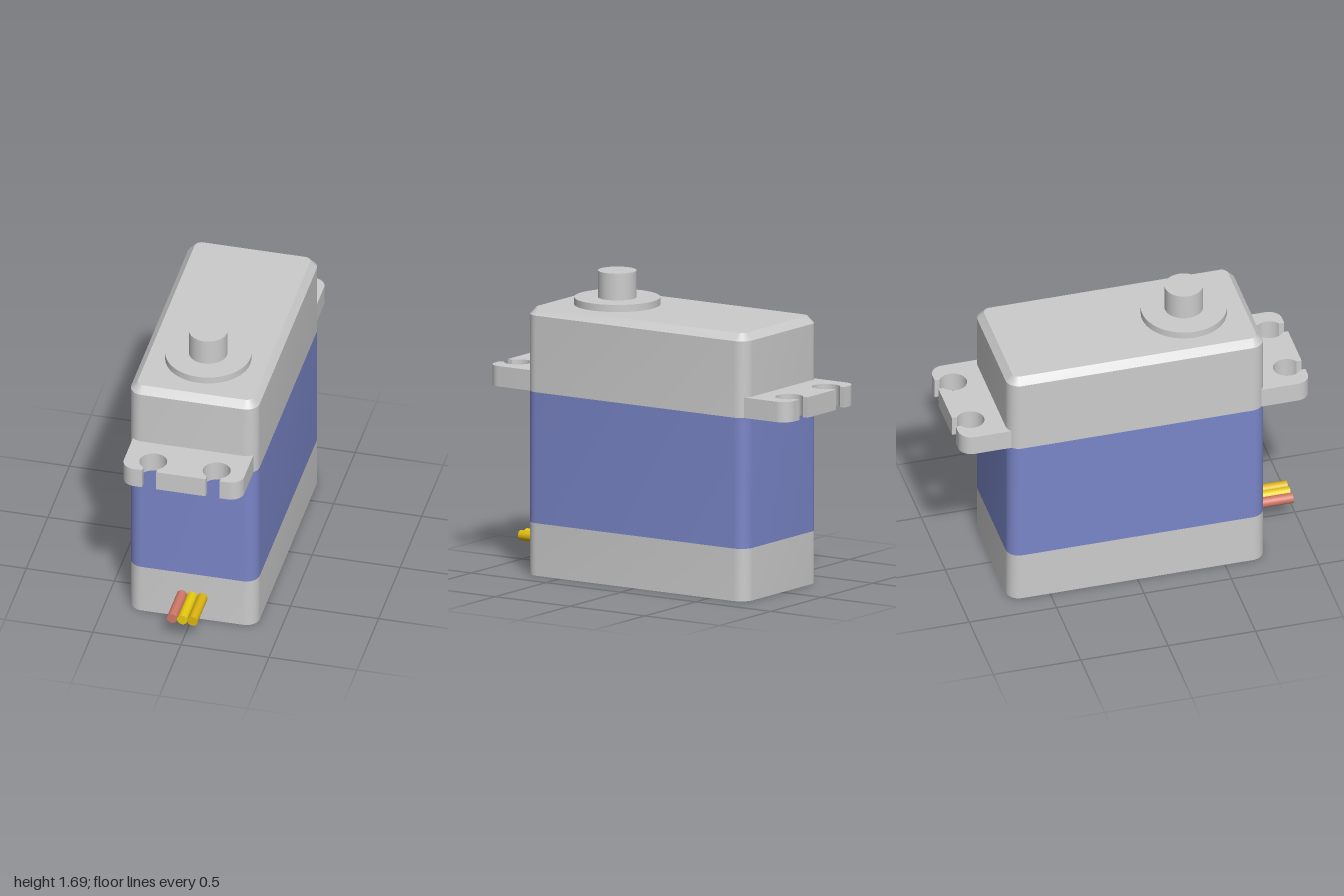
import * as THREE from 'three';
import { toCreasedNormals } from 'three/addons/utils/BufferGeometryUtils.js';

const material = (color) => new THREE.MeshStandardMaterial({ color });
const GREY = material(0xcccccc);
const BLUE = material(0x7a86c8);

const HALF_W = 0.365, HALF_D = 0.735, CORNER = 0.075;

// Rounded rectangle at height y, counter-clockwise seen from above
function ring(inset, y) {
  const w = HALF_W - inset, d = HALF_D - inset, r = CORNER - inset;
  const corners = [[1, 1], [1, -1], [-1, -1], [-1, 1]];
  const points = [];
  corners.forEach(([sx, sz], c) => {
    for (let i = 0; i <= 8; i++) {
      const a = Math.PI / 2 * (1 - c - i / 8);
      points.push(new THREE.Vector3(sx * (w - r) + r * Math.cos(a), y, sz * (d - r) + r * Math.sin(a)));
    }
  });
  return points;
}

// Case section lofted through [inset, y] levels, with optional flat ends
function caseSection(levels, capBottom, capTop) {
  const rings = levels.map(([inset, y]) => ring(inset, y));
  const n = rings[0].length;
  const pos = [];
  const tri = (a, b, c) => [a, b, c].forEach((p) => pos.push(p.x, p.y, p.z));
  for (let k = 0; k < rings.length - 1; k++) {
    const lo = rings[k], hi = rings[k + 1];
    for (let i = 0; i < n; i++) {
      const j = (i + 1) % n;
      tri(lo[i], lo[j], hi[j]);
      tri(lo[i], hi[j], hi[i]);
    }
  }
  const first = rings[0], last = rings[rings.length - 1];
  const bottom = new THREE.Vector3(0, first[0].y, 0), top = new THREE.Vector3(0, last[0].y, 0);
  for (let i = 0; i < n; i++) {
    const j = (i + 1) % n;
    if (capBottom) tri(bottom, first[j], first[i]);
    if (capTop) tri(top, last[i], last[j]);
  }
  const geometry = new THREE.BufferGeometry();
  geometry.setAttribute('position', new THREE.Float32BufferAttribute(pos, 3));
  return toCreasedNormals(geometry, 0.5);
}

// Mounting tab: rounded outer corners and two keyhole slots open to the end
function tabGeometry() {
  const w = 0.342, inner = 0.68, outer = 1, r = 0.075;
  const holeX = 0.18, holeY = 0.905, holeR = 0.077, slot = 0.04;
  const mouth = Math.asin(slot / holeR);
  const s = new THREE.Shape();
  s.moveTo(-w, inner);
  s.lineTo(w, inner);
  s.lineTo(w, outer - r);
  s.absarc(w - r, outer - r, r, 0, Math.PI / 2, false);
  for (const x of [holeX, -holeX]) {
    s.lineTo(x + slot, outer);
    s.absarc(x, holeY, holeR, Math.PI / 2 - mouth, Math.PI / 2 + mouth - Math.PI * 2, true);
    s.lineTo(x - slot, outer);
  }
  s.lineTo(-w + r, outer);
  s.absarc(-w + r, outer - r, r, Math.PI / 2, Math.PI, false);
  s.closePath();
  const g = new THREE.ExtrudeGeometry(s, { depth: 0.115, bevelEnabled: false, curveSegments: 24 });
  g.rotateX(-Math.PI / 2);
  return toCreasedNormals(g, 0.5);
}

export function createModel() {
  const group = new THREE.Group();
  const add = (name, geometry, mat, x = 0, y = 0, z = 0) => {
    const mesh = new THREE.Mesh(geometry, mat);
    mesh.name = name;
    mesh.position.set(x, y, z);
    group.add(mesh);
    return mesh;
  };

  // Three-part case
  add('bottomCase', caseSection([[0, 0], [0, 0.295]], true, false), GREY);
  add('middleCase', caseSection([[0, 0.295], [0, 1.03]], false, false), BLUE);
  add('topCase', caseSection([[0, 1.03], [0, 1.46], [0.037, 1.5]], false, true), GREY);

  // Mounting tabs at both ends
  const tab = tabGeometry();
  add('backMountingTab', tab, GREY, 0, 1.03, 0);
  add('frontMountingTab', tab, GREY, 0, 1.03, 0).rotation.y = Math.PI;

  // Output collar and shaft
  add('outputCollar', new THREE.CylinderGeometry(0.238, 0.238, 0.04, 64), GREY, 0, 1.52, 0.365);
  add('outputShaft', new THREE.CylinderGeometry(0.107, 0.107, 0.19, 48), GREY, 0, 1.595, 0.365);

  // Three lead wires
  const wire = new THREE.CylinderGeometry(0.029, 0.029, 0.27, 24).rotateX(Math.PI / 2);
  [['redWire', 0xd07868], ['yellowWire', 0xe8cc10], ['amberWire', 0xdcb410]].forEach(([name, color], i) => {
    add(name, wire, material(color), (i - 1) * 0.058, 0.147, 0.835);
  });

  return group;
}
